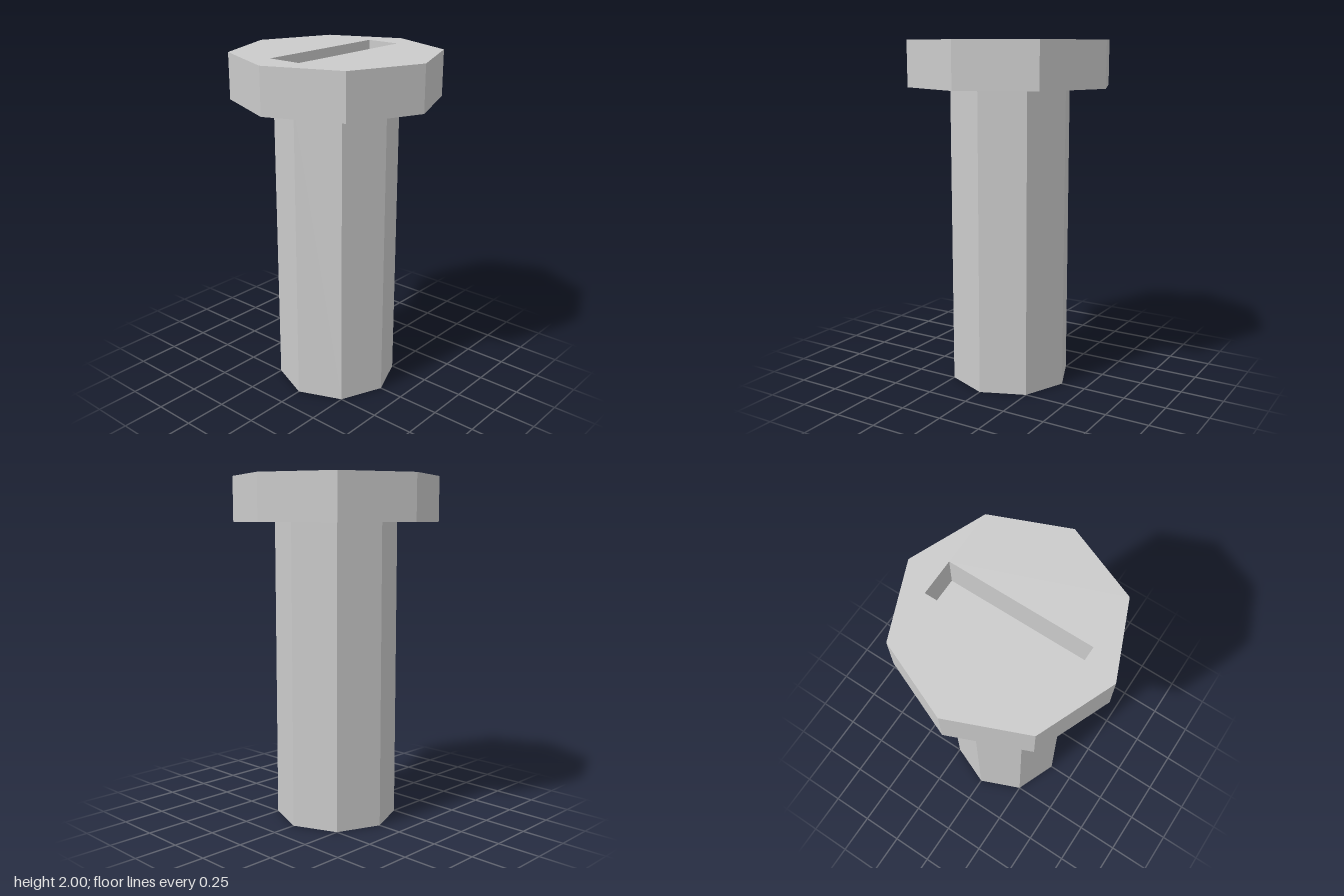
import * as THREE from 'three';

const SIDES = 8, SHANK_R = 0.353, HEAD_R = 0.593, HEAD_Y = 1.74, TOP_Y = 2;
const SLOT = { width: 0.206, length: 0.828, depth: 0.2, x: -0.004, z: -0.004 };

export function createModel() {
  const group = new THREE.Group();
  const material = new THREE.MeshStandardMaterial({ color: 0xcccccc, flatShading: true });
  const add = (name, geometry) => {
    const mesh = new THREE.Mesh(geometry, material);
    mesh.name = name;
    group.add(mesh);
    return mesh;
  };
  const v = (x, y) => new THREE.Vector2(x, y);
  const lathe = (points) => {
    const geometry = new THREE.LatheGeometry(points, SIDES).toNonIndexed();
    geometry.computeVertexNormals();
    return geometry;
  };

  // Octagonal shank with a closed lower end
  add('shank', lathe([v(0, 0), v(SHANK_R, 0), v(SHANK_R, HEAD_Y)]));

  // Underside and rim of the head
  add('headRim', lathe([v(SHANK_R, HEAD_Y), v(HEAD_R, HEAD_Y), v(HEAD_R, TOP_Y)]));

  // Top of the head, with the slot cut out (shape y becomes -z)
  const face = new THREE.Shape(Array.from({ length: SIDES }, (_, i) => {
    const a = (i / SIDES) * Math.PI * 2;
    return v(HEAD_R * Math.cos(a), HEAD_R * Math.sin(a));
  }));
  const w = SLOT.width / 2, l = SLOT.length / 2;
  face.holes.push(new THREE.Path(
    [[-w, -l], [-w, l], [w, l], [w, -l]].map(([x, y]) => v(x + SLOT.x, y - SLOT.z))
  ));
  add('headTop', new THREE.ShapeGeometry(face).rotateX(-Math.PI / 2).translate(0, TOP_Y, 0));

  // Slot recess: a box without its top, turned inside out
  const recess = new THREE.BoxGeometry(SLOT.width, SLOT.depth, SLOT.length);
  const index = Array.from(recess.index.array);
  index.splice(12, 6);
  recess.setIndex(index.reverse());
  recess.computeVertexNormals();
  add('screwdriverSlot', recess).position.set(SLOT.x, TOP_Y - SLOT.depth / 2, SLOT.z);

  return group;
}
